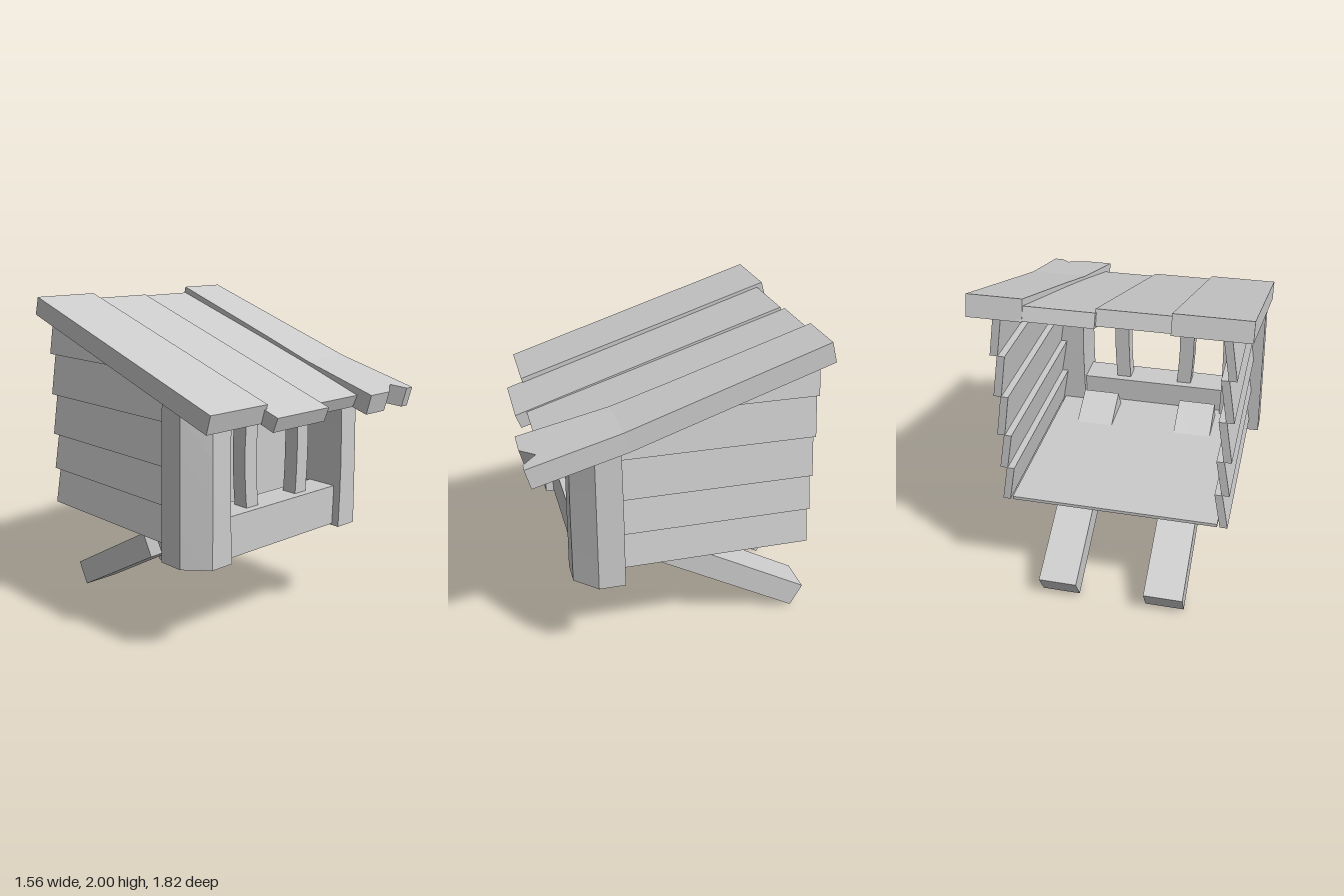
import * as THREE from 'three';

const material = new THREE.MeshStandardMaterial({ color: 0xcccccc, flatShading: true });
const CENTRE = -0.035; // the hut body sits slightly off the roof's centre
const underRoof = (z) => 1.63 - 0.335 * z;

// Extrudes an outline (u, v) over t = 0..1 and moves each vertex to place(u, v, t).
function prism(name, outline, place, steps = 1) {
  const shape = new THREE.Shape(outline.map(([u, v]) => new THREE.Vector2(u, v)));
  const extruded = new THREE.ExtrudeGeometry(shape, { depth: 1, steps, bevelEnabled: false });
  const geo = extruded.index ? extruded.toNonIndexed() : extruded;
  const pos = geo.attributes.position;
  for (let i = 0; i < pos.count; i++) {
    pos.setXYZ(i, ...place(pos.getX(i), pos.getY(i), pos.getZ(i)));
  }
  // Turn the triangles round where the mapping mirrors them
  const a = new THREE.Vector3(), b = new THREE.Vector3(), c = new THREE.Vector3();
  let volume = 0;
  for (let i = 0; i < pos.count; i += 3) {
    a.fromBufferAttribute(pos, i);
    b.fromBufferAttribute(pos, i + 1);
    c.fromBufferAttribute(pos, i + 2);
    volume += a.dot(b.cross(c));
  }
  if (volume < 0) {
    for (let i = 0; i < pos.count; i += 3) {
      b.fromBufferAttribute(pos, i + 1);
      c.fromBufferAttribute(pos, i + 2);
      pos.setXYZ(i + 1, c.x, c.y, c.z);
      pos.setXYZ(i + 2, b.x, b.y, b.z);
    }
  }
  geo.computeVertexNormals();
  const mesh = new THREE.Mesh(geo, material);
  mesh.name = name;
  return mesh;
}

function box(name, x0, x1, y0, y1, z0, z1) {
  const mesh = new THREE.Mesh(new THREE.BoxGeometry(x1 - x0, y1 - y0, z1 - z0), material);
  mesh.position.set((x0 + x1) / 2, (y0 + y1) / 2, (z0 + z1) / 2);
  mesh.name = name;
  return mesh;
}

// Roof board: outline in (x, z), top running straight from [z, y] to [z, y]
function roofBoard(outline, [z0, y0], [z1, y1], thick) {
  const slope = (y1 - y0) / (z1 - z0);
  return prism('roofBoard', outline, (x, z, t) =>
    [x, y0 + slope * (z - z0) - (1 - t) * thick, z - (1 - t) * 0.033]);
}

const rect = (x0, x1, z0, z1) => [[x0, z0], [x1, z0], [x1, z1], [x0, z1]];

function createRoof() {
  const roof = new THREE.Group();
  roof.name = 'roof';
  roof.add(
    roofBoard(rect(-0.78, -0.36, -0.8, 0.78), [-0.8, 2], [0.78, 1.5], 0.11),
    roofBoard(rect(-0.375, 0.045, -0.77, 0.87), [-0.77, 1.97], [0.87, 1.44], 0.085),
    roofBoard(rect(0.04, 0.46, -0.8, 0.8), [-0.8, 1.96], [0.8, 1.455], 0.075),
    // Bent end board: upper length, then the flatter front with a broken notch
    roofBoard([[0.43, -0.8], [0.74, -0.8], [0.755, 0], [0.763, 0.37], [0.412, 0.37], [0.423, 0]],
      [-0.8, 2], [0.37, 1.61], 0.12),
    roofBoard([[0.412, 0.37], [0.763, 0.37], [0.78, 0.91], [0.725, 0.91], [0.66, 0.83],
      [0.55, 0.91], [0.378, 0.91]], [0.37, 1.61], [0.91, 1.47], 0.12),
  );
  return roof;
}

// Overlapping side boards, leaning in at the top and trimmed under the roof
function createSideWall(side) {
  const wall = new THREE.Group();
  wall.name = side > 0 ? 'leftWall' : 'rightWall';
  const levels = [0.66, 0.89, 1.12, 1.38, 1.64, 1.9];
  const back = -0.8, front = 0.37;
  for (let i = 0; i < 5; i++) {
    const y0 = levels[i], y1 = levels[i + 1];
    const zAt = (y) => (1.63 - y) / 0.335; // where the roof line crosses height y
    const outline = [[back, y0], [Math.min(front, zAt(y0)), y0]];
    if (zAt(y1) < front) {
      if (zAt(y0) > front) outline.push([front, underRoof(front)]);
      outline.push([Math.max(back, zAt(y1)), Math.min(y1, underRoof(back))]);
    } else outline.push([front, y1]);
    if (zAt(y1) > back) outline.push([back, y1]);
    wall.add(prism('wallBoard', outline, (z, y, t) => {
      const lean = 0.04 * (1 - (y - y0) / (y1 - y0));
      return [CENTRE + side * (0.59 + 0.045 * t + lean), y, z];
    }));
  }
  return wall;
}

// Chamfered corner post, narrowing a little towards the top
function createPost(side) {
  const outline = [[0.465, 0.36], [0.74, 0.36], [0.74, 0.52], [0.615, 0.652], [0.465, 0.652]];
  return prism('frontPost', outline, (x, z, t) => {
    const squeeze = 1 - 0.09 * Math.max(0, t - 0.6) - 0.03 * t;
    const pz = 0.51 + (z - 0.51) * squeeze;
    const px = x > 0.5 ? x - 0.012 * t : x + 0.01 * Math.sin(t * Math.PI);
    return [CENTRE + side * px, 0.58 + t * (underRoof(pz) - 0.58), pz];
  }, 4);
}

// Slightly bowed window bar
function createBar(x0, x1, bow) {
  return prism('windowBar', rect(x0, x1, 0.45, 0.55), (x, z, t) =>
    [x + bow * Math.sin(t * Math.PI), 0.82 + t * (underRoof(z) - 0.82), z], 5);
}

// Slanting support; the outline lies in (x, distance along the beam)
function createSupport(x0, x1, notched) {
  const length = 1.36, angle = THREE.MathUtils.degToRad(29);
  const sin = Math.sin(angle), cos = Math.cos(angle);
  const outline = [[x0, 0], [x1, 0], [x1, length], [x0, length]];
  if (notched) outline.push([x0, 0.95], [x0 + 0.06, 0.89], [x0, 0.83]);
  return prism('support', outline, (x, s, t) =>
    [x, s * sin + t * 0.16 * cos, -0.83 + s * cos - t * 0.16 * sin]);
}

export function createModel() {
  const model = new THREE.Group();
  model.name = 'woodenHut';
  model.add(createRoof());
  for (const side of [-1, 1]) model.add(createSideWall(side), createPost(side));

  // Floor, and the front panel that shows only from outside
  model.add(box('floor', -0.65, 0.58, 0.66, 0.68, -0.8, 0.42));
  const panel = new THREE.Mesh(new THREE.PlaneGeometry(1.23, 0.83), material);
  panel.position.set(CENTRE, 1.075, 0.37);
  panel.name = 'frontPanel';
  model.add(panel);

  // Window sill and bars
  model.add(box('sill', -0.52, 0.45, 0.59, 0.84, 0.4, 0.6));
  model.add(createBar(-0.285, -0.19, -0.018), createBar(0.13, 0.225, 0.013));

  model.add(createSupport(-0.48, -0.24, true), createSupport(0.18, 0.415, false));
  return model;
}
